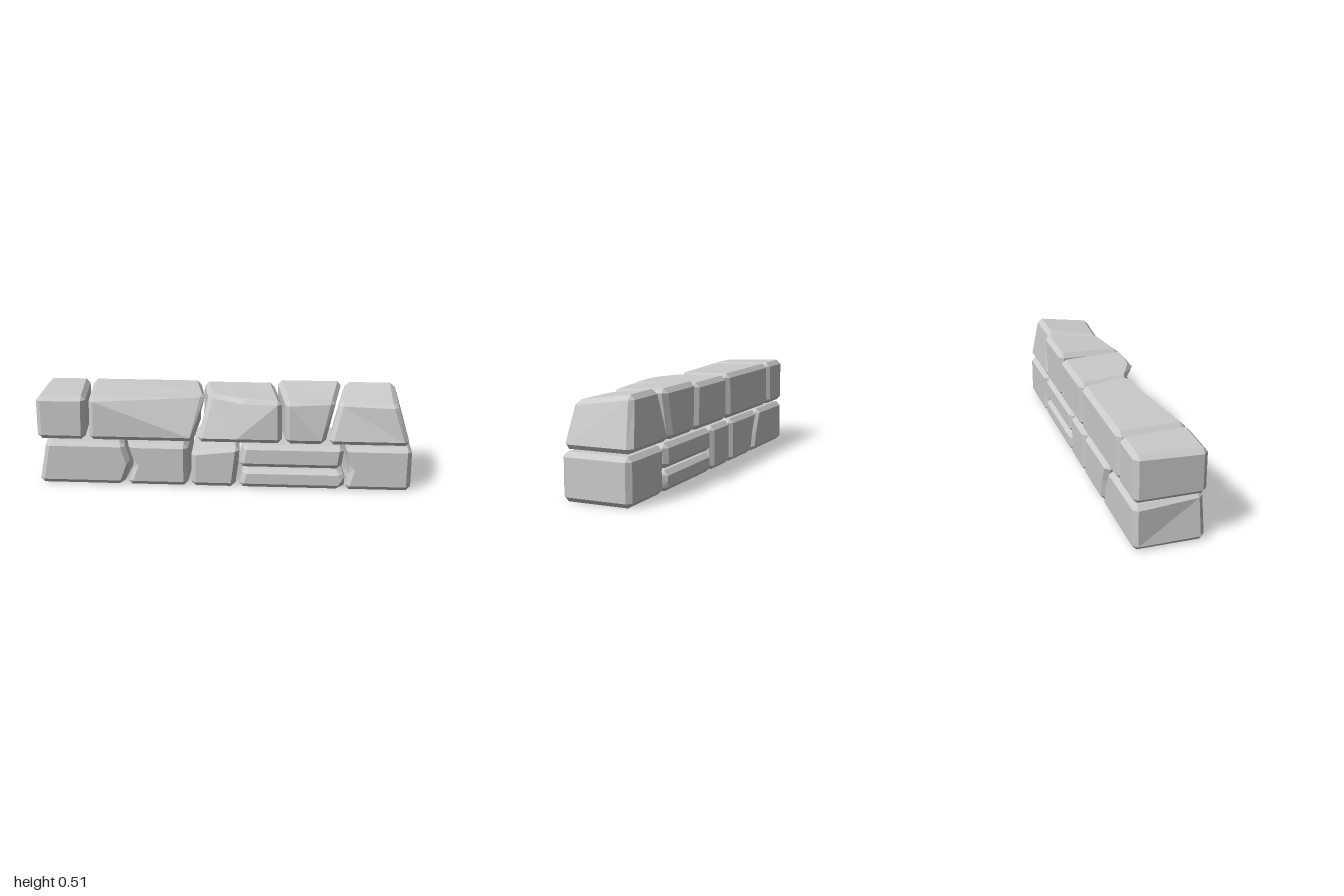
import * as THREE from 'three';

const FRONT = 0.183, BACK = -0.181, CHAMFER = 0.024, GAP = 0.009;

// Corner cut: two points either side of each corner of an outline
function cutCorners(pts, dz) {
  return pts.flatMap((p, i) => [pts.at(i - 1), pts[(i + 1) % pts.length]].map(q => {
    const v = p.clone().lerp(q, Math.min(0.4, CHAMFER / p.distanceTo(q)));
    v.z += dz;
    return v;
  }));
}

// Mitred inset of an outline in its own plane
function inset(pts) {
  return pts.map((p, i) => {
    const a = pts.at(i - 1), b = pts[(i + 1) % pts.length];
    const n1 = new THREE.Vector2(a.y - p.y, p.x - a.x).normalize();
    const n2 = new THREE.Vector2(p.y - b.y, b.x - p.x).normalize();
    const k = CHAMFER / Math.max(0.4, 1 + n1.dot(n2));
    return new THREE.Vector3(p.x + (n1.x + n2.x) * k, p.y + (n1.y + n2.y) * k, p.z);
  });
}

// Chamfered stone lofted from a front outline to a back outline
function stoneGeometry(front, back, open) {
  const frontFace = inset(front), backFace = inset(back), pos = [];
  const double = pts => pts.flatMap(p => [p, p]);
  const rings = [double(frontFace), cutCorners(front, -CHAMFER), cutCorners(back, CHAMFER), double(backFace)];
  const tri = (p, q, r) => {
    if (p === q || q === r || r === p) return;
    if (open && Math.max(p.y, q.y, r.y) < 0.001) return; // hollow underside
    for (const v of [p, q, r]) pos.push(v.x, v.y, v.z);
  };
  for (let r = 0; r < 3; r++) {
    const s = rings[r], t = rings[r + 1];
    s.forEach((_, i) => {
      const j = (i + 1) % s.length;
      tri(s[i], t[i], t[j]);
      tri(s[i], t[j], s[j]);
    });
  }
  // Front and back faces
  const cap = (loop, flip) => {
    const flat = loop.map(v => new THREE.Vector2(v.x, v.y));
    for (const [i, j, k] of THREE.ShapeUtils.triangulateShape(flat, [])) {
      tri(loop[i], loop[flip ? k : j], loop[flip ? j : k]);
    }
  };
  cap(frontFace, false);
  cap(backFace, true);
  const g = new THREE.BufferGeometry();
  g.setAttribute('position', new THREE.Float32BufferAttribute(pos, 3));
  g.computeVertexNormals();
  return g;
}

// Joint between two stones: x at bottom and top of its front and back edges,
// an optional sideways bow at mid height, and the z of its upper front end
function joint(front, back = front, { bow, z = FRONT } = {}) {
  return { front, back, bow, z };
}

// Outline of one side of a stone, counter-clockwise seen from the front
function outline(side, left, right, y0, yLeft, yRight, crease, zTop) {
  const isFront = side === 'front', z0 = isFront ? FRONT : BACK;
  const edge = (j, shift, y1) => {
    const [x0, x1] = j[side], z1 = isFront ? j.z : zTop;
    const pts = [new THREE.Vector3(x0 + shift, y0, z0), new THREE.Vector3(x1 + shift, y1, z1)];
    if (j.bow) {
      const mid = pts[0].clone().lerp(pts[1], 0.48);
      mid.x += j.bow[isFront ? 0 : 1];
      pts.splice(1, 0, mid);
    }
    return pts;
  };
  const l = edge(left, GAP, yLeft), r = edge(right, -GAP, yRight);
  const middle = (a, b) => {
    if (!crease) return [];
    const v = a.clone().lerp(b, 0.47);
    v.z = z0;
    return [v];
  };
  return [...middle(l[0], r[0]), ...r, ...middle(l.at(-1), r.at(-1)), ...l.reverse()];
}

export function createModel() {
  const wall = new THREE.Group();
  wall.name = 'stoneWall';
  const material = new THREE.MeshStandardMaterial({ color: 0xcccccc, flatShading: true, side: THREE.DoubleSide });

  // Stone between two joints; tops = height at front left, front right and back
  const stone = (name, left, right, y0, tops, { open = false, crease = false, zTop = BACK } = {}) => {
    const front = outline('front', left, right, y0, tops[0], tops[1], crease, zTop);
    const back = outline('back', left, right, y0, tops[2], tops[2], crease, zTop);
    const mesh = new THREE.Mesh(stoneGeometry(front, back, open), material);
    mesh.name = name;
    wall.add(mesh);
  };

  const startX = -1 - GAP, endX = 1 + GAP;
  const start = joint([startX, startX]), end = joint([endX, endX]);

  // Upper course
  const u1 = joint([-0.73, -0.724], [-0.765, -0.757]);
  const u2 = joint([-0.15, -0.088], [-0.14, -0.132], { z: 0.095 });
  const u3 = joint([0.323, 0.318], [0.283, 0.272]);
  const u4 = joint([0.549, 0.605], [0.58, 0.643], { z: 0.14 });
  const u5 = joint([0.999, 0.925], [0.999, 0.925], { z: 0.16 });
  stone('upperEndStoneRight', start, u1, 0.25, [0.487, 0.492, 0.5]);
  stone('upperLongStone', u1, u2, 0.25, [0.488, 0.5, 0.5]);
  stone('upperMiddleStone', u2, u3, 0.25, [0.495, 0.488, 0.495], { crease: true });
  stone('upperLeaningStone', u3, u4, 0.25, [0.485, 0.485, 0.51]);
  stone('upperEndStoneLeft', u4, u5, 0.25, [0.478, 0.475, 0.514], { zTop: -0.155 });

  // Lower course
  const leaningStart = joint([startX, -0.965], [startX, startX]);
  const l1 = joint([-0.53, -0.525], [-0.508, -0.597], { bow: [0.04, 0.012] });
  const l2 = joint([-0.18, -0.18]);
  const l3 = joint([0.074, 0.1], [0.075, 0.08]);
  const l4 = joint([0.638, 0.64], [0.635, 0.637], { bow: [0.032, 0.01] });
  const slabEnd = joint([0.638, 0.655], [0.63, 0.638]);
  stone('lowerEndStoneRight', leaningStart, l1, 0, [0.238, 0.238, 0.24], { open: true });
  stone('lowerSquareStone', l1, l2, 0, [0.236, 0.236, 0.24], { open: true });
  stone('lowerSmallStone', l2, l3, 0, [0.2, 0.23, 0.24], { open: true });
  stone('lowerBottomSlab', l3, l4, 0, [0.105, 0.105, 0.105]);
  stone('lowerUpperSlab', l3, slabEnd, 0.115, [0.24, 0.24, 0.24]);
  stone('lowerEndStoneLeft', l4, end, 0, [0.24, 0.24, 0.24], { open: true });
  return wall;
}
